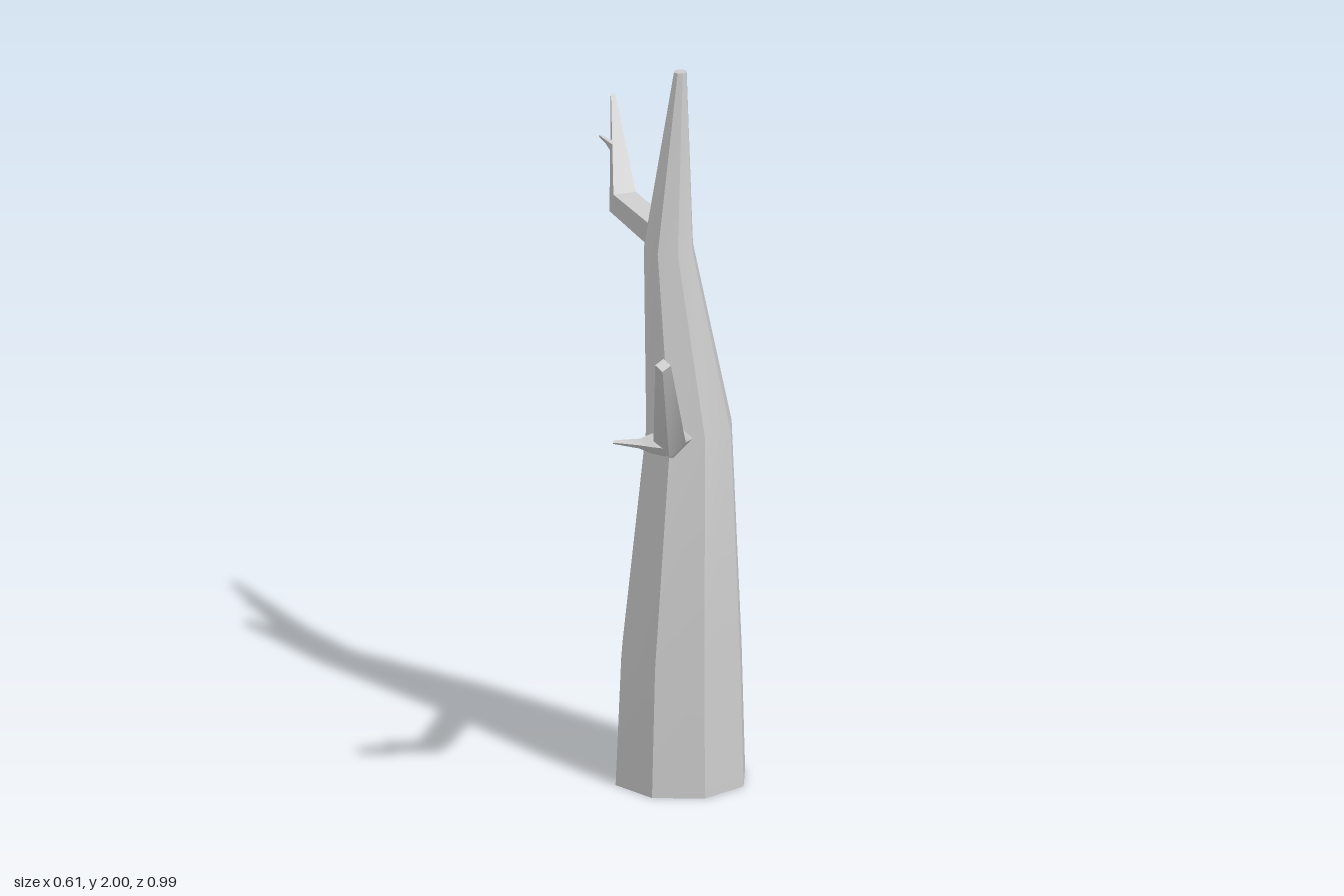
import * as THREE from 'three';
import { toCreasedNormals } from 'three/addons/utils/BufferGeometryUtils.js';

const UP = new THREE.Vector3(0, 1, 0);
const material = new THREE.MeshStandardMaterial({ color: 0xcccccc });

// Sweeps a polygon through nodes [x, y, z, radius]; rings are mitred at bends, or kept level.
function limb(name, nodes, sides, { turn = 0, level = false } = {}) {
  const centres = nodes.map(([x, y, z]) => new THREE.Vector3(x, y, z));
  const last = nodes.length - 1;
  const rings = centres.map((c, i) => {
    const into = c.clone().sub(centres[Math.max(i - 1, 0)]).normalize();
    const out = centres[Math.min(i + 1, last)].clone().sub(c).normalize();
    const tangent = into.clone().add(out).normalize();
    const side = level ? new THREE.Vector3(1, 0, 0) : tangent.clone().cross(UP).normalize();
    const rise = level ? new THREE.Vector3(0, 0, 1) : side.clone().cross(tangent);
    return Array.from({ length: sides }, (_, k) => {
      const a = turn + (k / sides) * Math.PI * 2;
      return c.clone()
        .addScaledVector(side, Math.cos(a) * nodes[i][3])
        .addScaledVector(rise, Math.sin(a) * nodes[i][3]);
    });
  });

  const corners = [];
  for (let k = 0; k < sides; k++) {
    const n = (k + 1) % sides;
    for (let i = 0; i < last; i++) {
      const p = rings[i], q = rings[i + 1];
      corners.push(p[k], q[k], p[n], p[n], q[k], q[n]);
    }
    corners.push(centres[0], rings[0][k], rings[0][n]);
    corners.push(centres[last], rings[last][n], rings[last][k]);
  }
  const geometry = new THREE.BufferGeometry().setFromPoints(corners);
  const mesh = new THREE.Mesh(toCreasedNormals(geometry, 0.5), material);
  mesh.name = name;
  return mesh;
}

export function createModel() {
  const tree = new THREE.Group();
  tree.name = 'bareTree';

  // Eight-sided trunk that sways sideways as it tapers
  tree.add(limb('trunk', [
    [0.055, 0, -0.14, 0.185],
    [0.058, 0.36, -0.14, 0.172],
    [0.08, 1.0, -0.14, 0.122],
    [0.02, 1.5, -0.14, 0.07],
    [0.055, 2.0, -0.14, 0.018],
  ], 8, { level: true }));

  // Lower branch, reaching forward
  tree.add(limb('lowerBranch', [
    [0.05, 0.972, -0.11, 0.056],
    [0.202, 1.1, 0.258, 0.043],
    [0.28, 1.4, 0.475, 0.021],
  ], 4));
  tree.add(limb('lowerTwig', [
    [0.19, 1.09, 0.25, 0.036],
    [0.15, 1.09, 0.262, 0.028],
    [0.122, 1.09, 0.275, 0.014],
    [0.058, 1.095, 0.306, 0.005],
  ], 4));

  // Upper branch, reaching back
  tree.add(limb('upperBranch', [
    [0.01, 1.505, -0.165, 0.046],
    [-0.185, 1.545, -0.298, 0.045],
    [-0.3, 1.768, -0.492, 0.008],
  ], 4, { turn: Math.PI / 4 }));
  tree.add(limb('upperTwig', [
    [-0.248, 1.655, -0.395, 0.018],
    [-0.262, 1.68, -0.372, 0.008],
    [-0.278, 1.7, -0.355, 0.003],
  ], 4));

  return tree;
}
